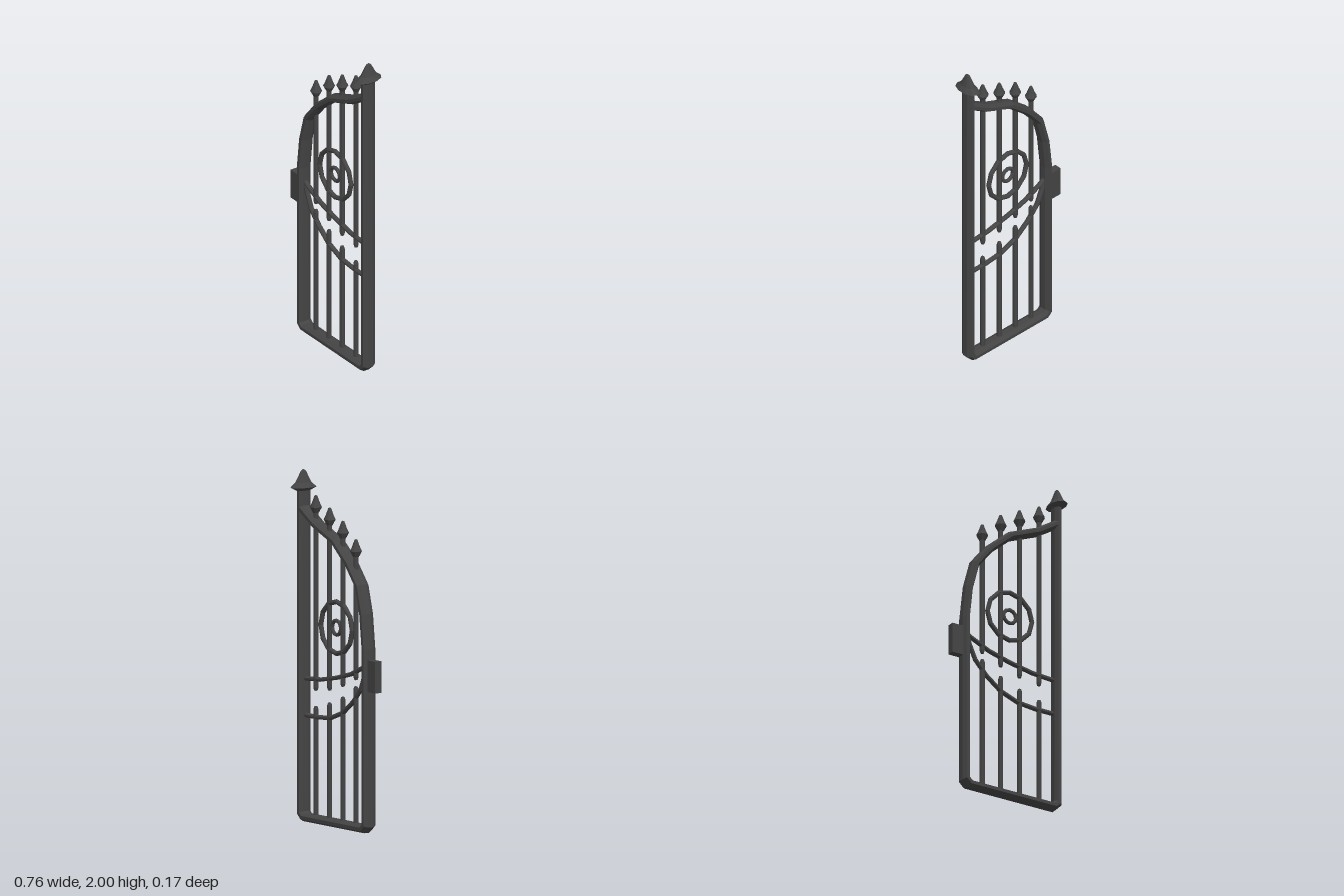
import * as THREE from 'three';

const iron = new THREE.MeshStandardMaterial({ color: 0x444444, flatShading: true });

// Mitred sweep of an eight-sided oval section along a path in the xy plane
function sweep(path, halfWidth, halfDepth) {
  const sides = 8;
  const pts = path.map(([x, y]) => new THREE.Vector2(x, y));
  const dirs = pts.slice(1).map((p, i) => p.clone().sub(pts[i]).normalize());
  const pos = [], idx = [];
  pts.forEach((p, i) => {
    const a = dirs[Math.max(i - 1, 0)], b = dirs[Math.min(i, dirs.length - 1)];
    const t = a.clone().add(b).normalize();
    const miter = halfWidth / t.dot(b);
    for (let k = 0; k < sides; k++) {
      const ang = ((k + 0.5) / sides) * Math.PI * 2;
      const u = (Math.cos(ang) / Math.cos(Math.PI / sides)) * miter;
      const w = (Math.sin(ang) / Math.cos(Math.PI / sides)) * halfDepth;
      pos.push(p.x - t.y * u, p.y + t.x * u, w);
    }
  });
  for (let i = 0; i < pts.length - 1; i++) {
    for (let k = 0; k < sides; k++) {
      const a = i * sides + k, b = i * sides + ((k + 1) % sides);
      idx.push(a, b, a + sides, b, b + sides, a + sides);
    }
  }
  const last = (pts.length - 1) * sides;
  for (let k = 1; k < sides - 1; k++) {
    idx.push(0, k + 1, k, last, last + k, last + k + 1);
  }
  const g = new THREE.BufferGeometry();
  g.setAttribute('position', new THREE.Float32BufferAttribute(pos, 3));
  g.setIndex(idx);
  g.computeVertexNormals();
  return g;
}

// Turned part from [radius, y] pairs listed bottom to top
const turned = (profile, sides) =>
  new THREE.LatheGeometry(profile.map(([r, y]) => new THREE.Vector2(r, y)), sides);

export function createModel() {
  const gate = new THREE.Group();
  gate.name = 'gateLeaf';
  const add = (name, geometry, x = 0, y = 0, z = 0) => {
    const m = new THREE.Mesh(geometry, iron);
    m.name = name;
    m.position.set(x, y, z);
    gate.add(m);
    return m;
  };

  // Outer frame: tall post, bottom rail, short post and arched top in one run
  add('frame', sweep([
    [0.325, 1.89], [0.325, 0.05], [0.3, 0.026], [-0.26, 0.026], [-0.286, 0.05],
    [-0.286, 1.05], [-0.264, 1.245], [-0.222, 1.4], [-0.125, 1.517],
    [0.008, 1.628], [0.19, 1.7], [0.318, 1.778],
  ], 0.023, 0.041));

  // Flattened finial on the tall post
  const finial = add('postFinial', turned([
    [0, 1.87], [0.032, 1.872], [0.085, 1.897], [0.052, 1.925], [0.016, 1.99], [0, 2],
  ], 10), 0.328);
  finial.scale.x = 0.59;

  // Curved middle rails
  add('upperMiddleRail', sweep([
    [-0.275, 0.962], [-0.24, 0.94], [-0.125, 0.888], [0.008, 0.852], [0.166, 0.822], [0.315, 0.812],
  ], 0.012, 0.014));
  add('lowerMiddleRail', sweep([
    [-0.272, 0.965], [-0.252, 0.895], [-0.214, 0.81], [-0.14, 0.73], [-0.045, 0.658],
    [0.07, 0.616], [0.19, 0.605], [0.315, 0.605],
  ], 0.012, 0.014));

  // Upright bars: [x, spear tip, upper bar bottom, lower bar top]
  const bars = [
    [-0.168, 1.66, 0.858, 0.826],
    [-0.045, 1.75, 0.805, 0.752],
    [0.08, 1.81, 0.768, 0.704],
    [0.21, 1.865, 0.752, 0.668],
  ];
  const r = 0.0145;
  for (const [x, tip, bottom, top] of bars) {
    add('upperBar', turned([
      [0, bottom], [r * 0.7, bottom + 0.004], [r, bottom + 0.02], [r, tip - 0.09], [0, tip - 0.09],
    ], 8), x);
    add('spearHead', turned([
      [0, tip - 0.1], [0.017, tip - 0.1], [0.034, tip - 0.068], [0.023, tip - 0.045],
      [0.008, tip - 0.003], [0, tip],
    ], 10), x);
    add('lowerBar', turned([
      [0, 0.03], [r, 0.03], [r, top - 0.02], [r * 0.7, top - 0.004], [0, top],
    ], 8), x);
  }

  // Concentric rings
  add('outerRing', new THREE.TorusGeometry(0.148, 0.014, 8, 12), 0.015, 1.135);
  add('innerRing', new THREE.TorusGeometry(0.041, 0.011, 8, 12), 0.015, 1.135);

  // Latch block on the short post
  add('latch', new THREE.BoxGeometry(0.1, 0.18, 0.044), -0.33, 0.9);

  return gate;
}
